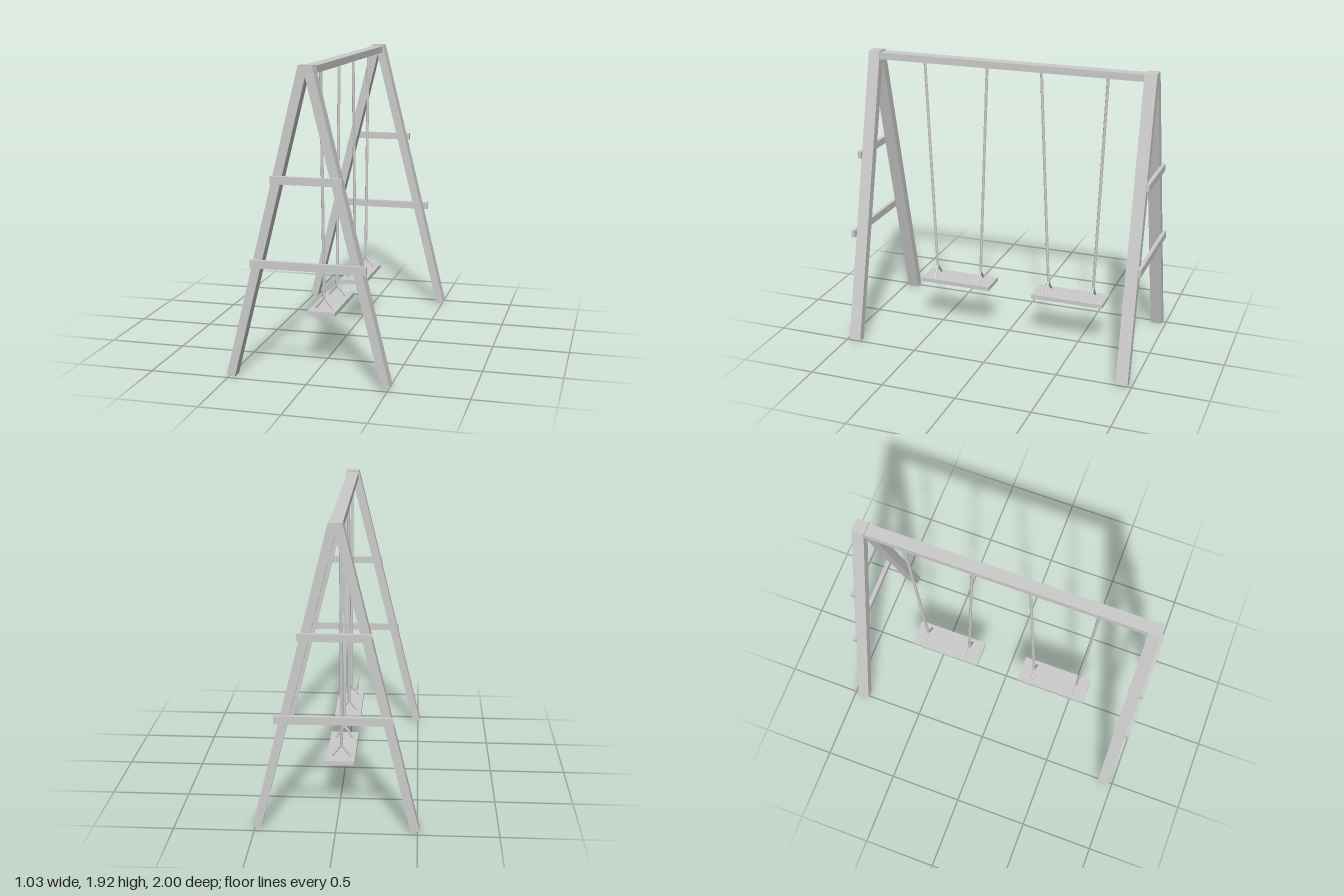
import * as THREE from 'three';

const material = new THREE.MeshStandardMaterial({ color: 0xcccccc, flatShading: true });

function add(parent, name, geometry) {
  const mesh = new THREE.Mesh(geometry, material);
  mesh.name = name;
  parent.add(mesh);
  return mesh;
}

// Box given by its minimum and maximum corners
function box(parent, name, [x0, y0, z0], [x1, y1, z1]) {
  const mesh = add(parent, name, new THREE.BoxGeometry(x1 - x0, y1 - y0, z1 - z0));
  mesh.position.set((x0 + x1) / 2, (y0 + y1) / 2, (z0 + z1) / 2);
  return mesh;
}

// Thin rod between two points
function rod(parent, name, from, to, radius) {
  const a = new THREE.Vector3(...from), b = new THREE.Vector3(...to);
  const dir = b.clone().sub(a);
  const mesh = add(parent, name, new THREE.CylinderGeometry(radius, radius, dir.length(), 8));
  mesh.position.copy(a).add(b).multiplyScalar(0.5);
  mesh.quaternion.setFromUnitVectors(new THREE.Vector3(0, 1, 0), dir.normalize());
  return mesh;
}

// A-shaped end frame: two splayed legs meeting at a flat top, with two rails outside
function endFrame(side) {
  const frame = new THREE.Group();
  frame.name = side > 0 ? 'frontFrame' : 'backFrame';
  const outline = [
    [-0.043, 1.92], [-0.513, 0.013], [-0.462, 0], [0, 1.85],
    [0.462, 0], [0.513, 0.013], [0.041, 1.92],
  ].map(([x, y]) => new THREE.Vector2(x, y));
  const legs = add(frame, 'legs',
    new THREE.ExtrudeGeometry(new THREE.Shape(outline), { depth: 0.08, bevelEnabled: false }));
  legs.position.z = side > 0 ? 0.897 : -0.977;

  const z0 = side > 0 ? 0.975 : -1, z1 = side > 0 ? 1 : -0.975;
  box(frame, 'upperRail', [-0.215, 1.22, z0], [0.225, 1.267, z1]);
  box(frame, 'lowerRail', [-0.345, 0.703, z0], [0.37, 0.752, z1]);
  return frame;
}

// Swing: a plank hung from two ropes that fork above the seat
function swing(name, z0, z1, seatTop, ropes) {
  const group = new THREE.Group();
  group.name = name;
  const x = -0.012, forkY = 0.41;
  box(group, 'seat', [-0.1, seatTop - 0.027, z0], [0.08, seatTop, z1]);
  for (const [zTop, zBottom] of ropes) {
    const t = (forkY - seatTop) / (1.87 - seatTop);
    const zFork = zBottom + (zTop - zBottom) * t;
    rod(group, 'rope', [x, forkY, zFork], [x, 1.88, zTop], 0.01);
    for (const dx of [-0.064, 0.064]) {
      rod(group, 'ropeFork', [x + dx, seatTop - 0.005, zBottom], [x, forkY + 0.005, zFork], 0.008);
    }
  }
  return group;
}

export function createModel() {
  const model = new THREE.Group();
  model.name = 'swingSet';
  model.add(endFrame(1), endFrame(-1));
  box(model, 'topBeam', [-0.041, 1.865, -0.9], [0.038, 1.91, 0.9]);
  model.add(
    swing('frontSwing', 0.122, 0.618, 0.343, [[0.597, 0.534], [0.157, 0.218]]),
    swing('backSwing', -0.682, -0.186, 0.337, [[-0.213, -0.28], [-0.655, -0.591]]),
  );
  return model;
}
